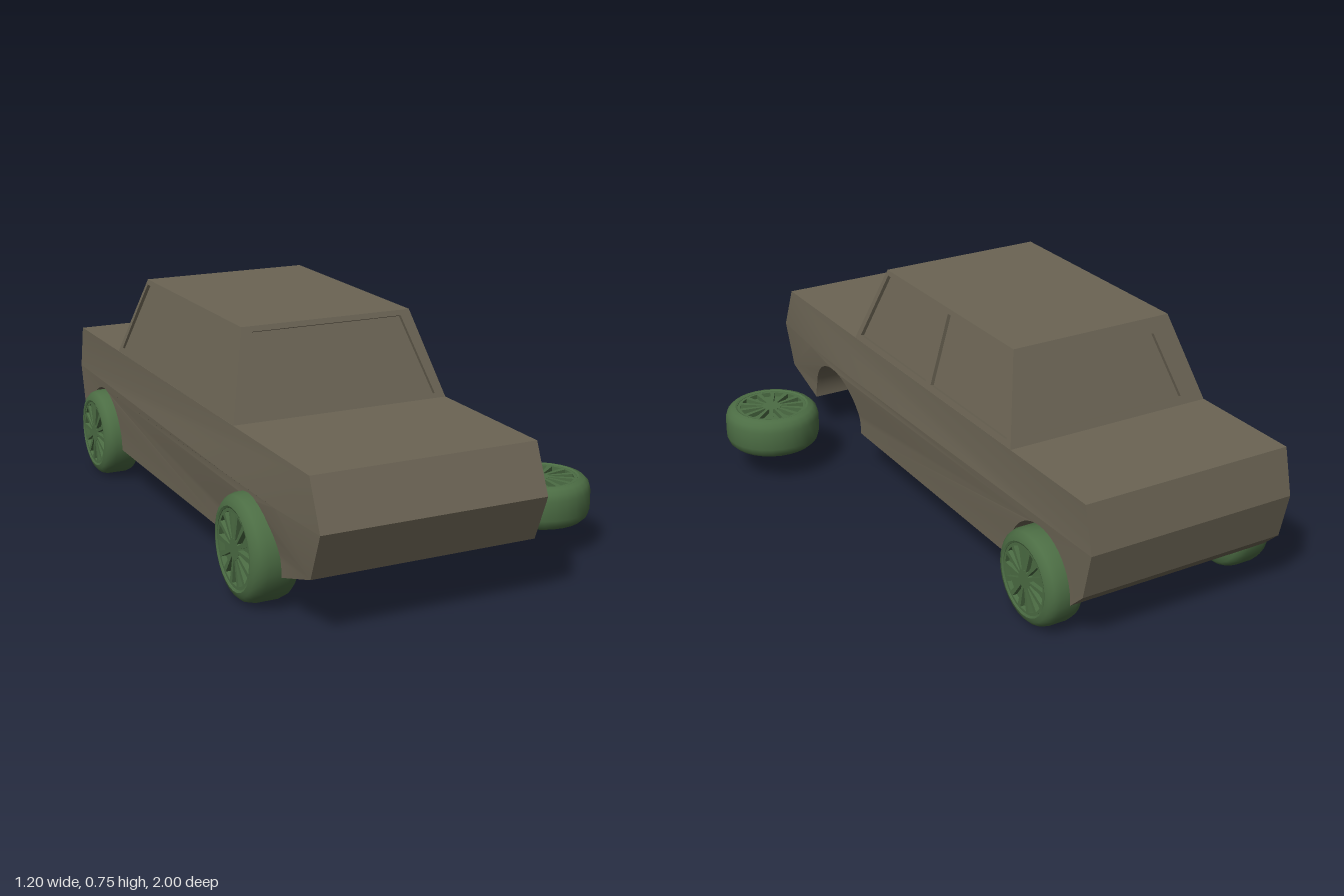
import * as THREE from 'three';
import { toCreasedNormals } from 'three/addons/utils/BufferGeometryUtils.js';
import { ConvexGeometry } from 'three/addons/geometries/ConvexGeometry.js';

const paint = new THREE.MeshStandardMaterial({ color: 0x6b6454 });
const green = new THREE.MeshStandardMaterial({ color: 0x4c6d44 });
const BELT = 0.335;
const HALF = 0.355;

function mesh(name, geometry, material, parent) {
  const m = new THREE.Mesh(geometry, material);
  m.name = name;
  parent.add(m);
  return m;
}

const polygon = (pts, Type = THREE.Shape) => new Type(pts.map(p => new THREE.Vector2(...p)));

// Side profiles, drawn as (z, y); the belt carries extra points for the bulge
const beltPoints = [[-0.57, BELT], [-0.1, BELT], [0.4, BELT], [0.75, BELT]];

function upperProfile() {
  return polygon([[1, BELT], [0.935, 0.482], [-0.965, 0.482], [-1, BELT], ...beltPoints]);
}

function lowerProfile(raisedFloor) {
  const s = new THREE.Shape();
  s.moveTo(1, BELT);
  s.lineTo(0.94, 0.19);
  s.lineTo(0.755, 0.13);
  s.absellipse(0.577, 0.13, 0.178, 0.18, 0, Math.PI, false);
  if (raisedFloor) {
    s.lineTo(0.385, 0.165);
    s.lineTo(-0.557, 0.165);
  }
  s.lineTo(-0.571, 0.128);
  // drawn by hand so that the path keeps running towards the tail
  for (let i = 1; i <= 24; i++) {
    const a = Math.PI * i / 24;
    s.lineTo(-0.738 + 0.167 * Math.cos(a), 0.128 + 0.182 * Math.sin(a));
  }
  s.lineTo(-0.965, 0.185);
  s.lineTo(-1, BELT);
  beltPoints.forEach(p => s.lineTo(...p));
  return s;
}

// Extrude a side profile between x0 and x1, bulging its outermost face at the belt
function slab(shape, x0, x1) {
  const g = new THREE.ExtrudeGeometry(shape, { depth: x1 - x0, bevelEnabled: false, curveSegments: 24 });
  g.rotateY(-Math.PI / 2).translate(x1, 0, 0);
  const p = g.attributes.position;
  for (let i = 0; i < p.count; i++) {
    const x = p.getX(i), y = p.getY(i), z = p.getZ(i);
    if (Math.abs(x) < 0.35) continue;
    const along = Math.max(0, Math.min(1, (1 - z) / 0.3, (z + 0.9) / 1.2));
    const up = Math.max(0, 1 - Math.abs(y - BELT) / 0.147);
    p.setX(i, x + Math.sign(x) * 0.02 * along * up);
  }
  return toCreasedNormals(g, 0.4);
}

// Cabin frustum: t = 0 at the base, 1 at the roof
const cabin = t => ({ x: HALF - 0.075 * t, y: 0.48 + 0.265 * t, f: 0.425 - 0.105 * t, b: -0.575 + 0.11 * t });

function frustum(t0, t1, inset) {
  const pts = [];
  for (const t of [t0, t1]) {
    const c = cabin(t);
    for (const q of [-1, 1]) {
      pts.push(new THREE.Vector3(q * (c.x - inset), c.y, c.f - inset));
      pts.push(new THREE.Vector3(q * (c.x - inset), c.y, c.b + inset));
    }
  }
  return new ConvexGeometry(pts);
}

// Sloping panel with window openings; points are (sideways, t)
function panel(origin, u, v, outline, holes) {
  const length = v.length(), depth = 0.012;
  const scale = pts => pts.map(([s, t]) => [s, t * length]);
  const shape = polygon(scale(outline));
  shape.holes = holes.map(h => polygon(scale(h), THREE.Path));
  const g = new THREE.ExtrudeGeometry(shape, { depth, bevelEnabled: false });
  g.translate(0, 0, -depth);
  const up = v.clone().normalize();
  const basis = new THREE.Matrix4().makeBasis(u, up, u.clone().cross(up)).setPosition(origin);
  return g.applyMatrix4(basis);
}

// Wheel along y, outer face up
function wheel(name, r, width, parent) {
  const group = new THREE.Group();
  group.name = name;
  const h = width / 2;
  const profile = [[0, -1], [0.72, -1], [0.88, -0.93], [0.96, -0.75], [1, -0.45], [1, 0.45],
    [0.96, 0.75], [0.88, 0.93], [0.78, 1], [0.74, 0.96], [0.72, 0.72], [0, 0.72]]
    .map(([a, b]) => new THREE.Vector2(a * r, b * h));
  mesh('tyre', toCreasedNormals(new THREE.LatheGeometry(profile, 28), 0.6), green, group);
  // rim disc with wedge-shaped slots
  const rim = new THREE.Shape().absarc(0, 0, 0.735 * r, 0, Math.PI * 2, false);
  const slots = 14;
  for (let i = 0; i < slots; i++) {
    const a = i / slots * Math.PI * 2;
    const at = (rad, da) => [rad * r * Math.cos(a + da), rad * r * Math.sin(a + da)];
    rim.holes.push(polygon([at(0.2, -0.08), at(0.68, -0.15), at(0.68, 0.15), at(0.2, 0.08)], THREE.Path));
  }
  const g = new THREE.ExtrudeGeometry(rim, { depth: 0.22 * h, bevelEnabled: false, curveSegments: 28 });
  g.rotateX(-Math.PI / 2).translate(0, 0.72 * h, 0);
  mesh('rim', g, green, group);
  parent.add(group);
  return group;
}

export function createModel() {
  const model = new THREE.Group();
  model.name = 'carWithDetachedWheel';
  const car = new THREE.Group();
  car.name = 'car';
  car.position.x = -0.175;
  model.add(car);

  // Lower body: a core with recessed floor between two side skins
  const body = new THREE.Group();
  body.name = 'body';
  car.add(body);
  mesh('bodyCore', slab(lowerProfile(true), -0.342, 0.342), paint, body);
  mesh('shoulderCore', slab(upperProfile(), -0.342, 0.342), paint, body);
  for (const [x0, x1, side] of [[0.342, HALF, 'left'], [-HALF, -0.342, 'right']]) {
    mesh(side + 'LowerSide', slab(lowerProfile(false), x0, x1), paint, body);
    mesh(side + 'Shoulder', slab(upperProfile(), x0, x1), paint, body);
  }

  // Cabin: glass block, roof and framed window panels
  const top = new THREE.Group();
  top.name = 'cabin';
  car.add(top);
  mesh('glass', frustum(-0.03, 0.98, 0.013), paint, top);
  mesh('roof', frustum(0.965, 1, 0), paint, top);
  const lo = cabin(0), hi = cabin(1);
  for (const q of [1, -1]) {
    const flip = pts => pts.map(([z, t]) => [-q * z, t]);
    mesh((q > 0 ? 'left' : 'right') + 'WindowFrame', panel(
      new THREE.Vector3(q * HALF, 0.48, 0), new THREE.Vector3(0, 0, -q), new THREE.Vector3(-q * 0.075, 0.265, 0),
      flip([[lo.f, 0], [lo.b, 0], [hi.b, 1], [hi.f, 1]]),
      [flip([[0.392, 0.08], [-0.058, 0.08], [-0.058, 0.94], [0.308, 0.94]]),
        flip([[-0.088, 0.08], [-0.543, 0.08], [-0.46, 0.94], [-0.088, 0.94]])]), paint, top);
  }
  const ends = [
    ['windscreenFrame', 1, lo.f, lo.f - hi.f, [0.32, 0.06, 0.248, 0.94]],
    ['rearWindowFrame', -1, lo.b, hi.b - lo.b, [0.272, 0.1, 0.215, 0.83]],
  ];
  for (const [name, q, z, run, [w0, t0, w1, t1]] of ends) {
    mesh(name, panel(
      new THREE.Vector3(0, 0.48, z), new THREE.Vector3(q, 0, 0), new THREE.Vector3(0, 0.265, -q * run),
      [[-lo.x, 0], [lo.x, 0], [hi.x, 1], [-hi.x, 1]],
      [[[-w0, t0], [w0, t0], [w1, t1], [-w1, t1]]]), paint, top);
  }

  // Three mounted wheels and one lying beside the empty front arch
  const mounted = [
    ['rearLeftWheel', 1, 0.15, 0.128, 0.176, -0.745],
    ['rearRightWheel', -1, 0.15, 0.128, -0.512, -0.745],
    ['frontRightWheel', -1, 0.162, 0.15, -0.524, 0.568],
  ];
  for (const [name, side, r, width, x, z] of mounted) {
    const w = wheel(name, r, width, model);
    w.rotation.z = -side * Math.PI / 2;
    w.position.set(x, r, z);
  }
  wheel('detachedFrontLeftWheel', 0.16, 0.136, model).position.set(0.438, 0.166, 0.568);
  return model;
}
